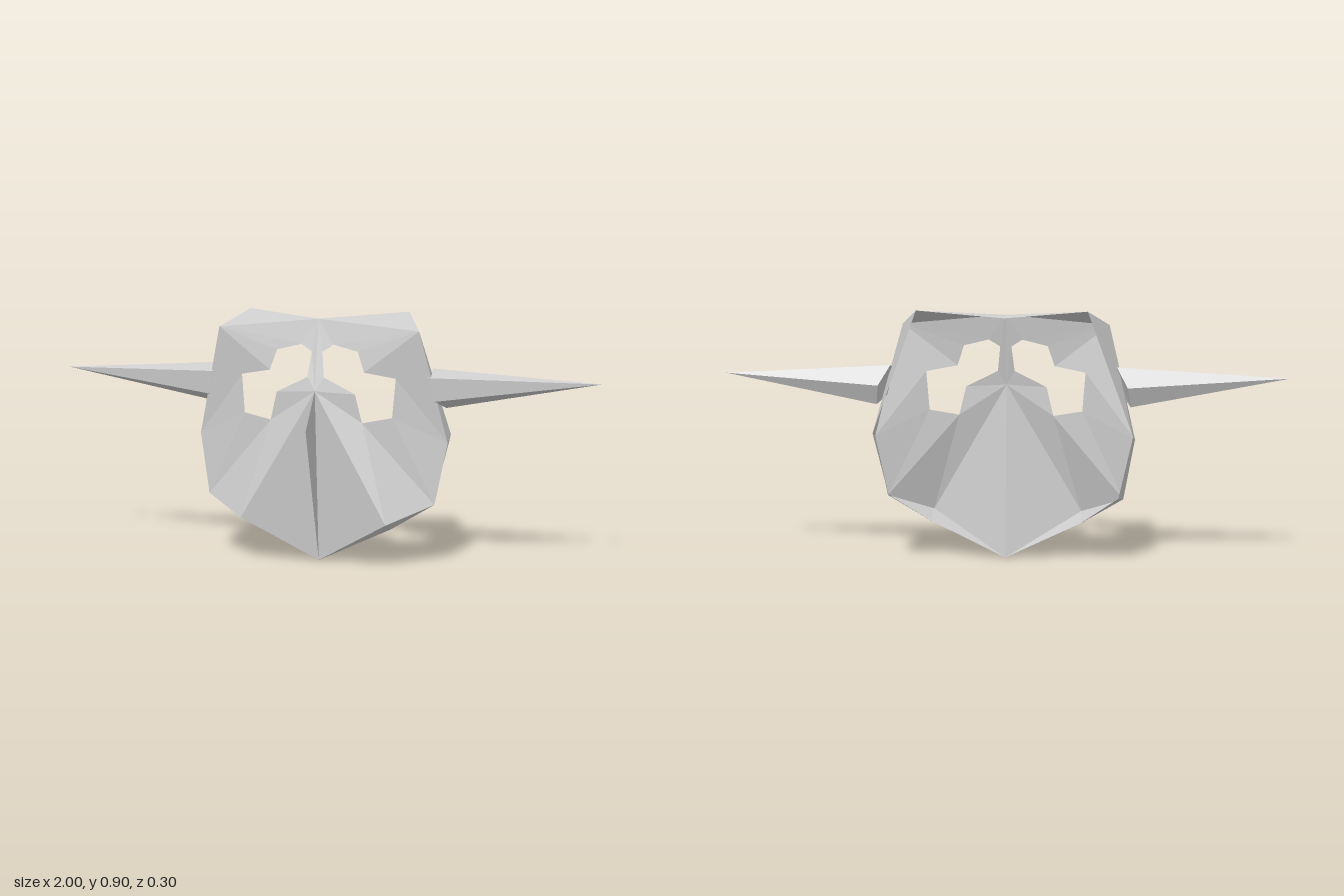
import * as THREE from 'three';

const grey = new THREE.MeshStandardMaterial({ color: 0xcccccc, side: THREE.DoubleSide, flatShading: true });
grey.name = 'plain grey';

// Faceted surface from corner points and polygons (each split as a fan)
function facets(name, points, polygons) {
  const pos = [];
  for (const p of polygons) {
    for (let i = 1; i < p.length - 1; i++) {
      for (const k of [p[0], p[i], p[i + 1]]) pos.push(...points[k]);
    }
  }
  const geo = new THREE.BufferGeometry();
  geo.setAttribute('position', new THREE.Float32BufferAttribute(pos, 3));
  geo.computeVertexNormals();
  const mesh = new THREE.Mesh(geo, grey);
  mesh.name = name;
  return mesh;
}

// Corners of one half of the mask
const P = {
  // centre line and outer edge
  top: [0, 0.885, -0.015], bridge: [0, 0.63, 0.035], chin: [0, 0.005, -0.015],
  brow: [0.37, 0.85, 0], cheek: [0.465, 0.45, -0.055], jaw: [0.425, 0.23, -0.03], jowl: [0.27, 0.165, 0.07],
  // rear edge of the rim
  topR: [0, 0.875, -0.06], browR: [0.3, 0.907, -0.15], cheekR: [0.46, 0.47, -0.135],
  jawR: [0.41, 0.245, -0.105], jowlR: [0.27, 0.135, -0.015],
  // eye opening
  e0: [0.17, 0.52, 0.02], e1: [0.275, 0.54, 0.0], e2: [0.286, 0.68, -0.005],
  e3: [0.175, 0.70, 0.012], e4: [0.15, 0.773, 0.005], e5: [0.06, 0.795, 0.0],
  e6: [0.02, 0.77, 0.005], e7: [0.03, 0.68, 0.025], e8: [0.145, 0.623, 0.025],
  // nose tip
  nose: [0, 0.5, 0.15],
};

// Face plate woven around the eye opening
const FACE = [
  ['top', 'bridge', 'e6'], ['bridge', 'e7', 'e6'], ['bridge', 'e8', 'e7'], ['bridge', 'e0', 'e8'],
  ['bridge', 'jowl', 'e0'], ['bridge', 'chin', 'jowl'], ['jowl', 'jaw', 'e0'], ['jaw', 'e1', 'e0'],
  ['jaw', 'cheek', 'e1'], ['cheek', 'e2', 'e1'], ['cheek', 'brow', 'e2'], ['brow', 'e3', 'e2'],
  ['brow', 'e4', 'e3'], ['brow', 'e5', 'e4'], ['brow', 'top', 'e5'], ['top', 'e6', 'e5'],
];

// Rim folded back from the outer edge
const RIM = [
  ['top', 'brow', 'browR', 'topR'], ['brow', 'cheek', 'cheekR', 'browR'],
  ['cheek', 'jaw', 'jawR', 'cheekR'], ['jaw', 'jowl', 'jowlR', 'jawR'], ['jowl', 'chin', 'jowlR'],
];

// Five-sided spike: base ring, then the tip
const SPIKE = [
  [0.40, 0.685, -0.015], [0.42, 0.6, -0.025], [0.45, 0.57, -0.1],
  [0.44, 0.64, -0.135], [0.40, 0.71, -0.1], [1, 0.675, -0.083],
];
const SPIKE_FACES = [[0, 4, 3, 2, 1]];
for (let i = 0; i < 5; i++) SPIKE_FACES.push([i, (i + 1) % 5, 5]);

export function createModel() {
  const model = new THREE.Group();
  model.name = 'mask';
  for (const side of [1, -1]) {
    const half = new THREE.Group();
    half.name = side > 0 ? 'leftHalf' : 'rightHalf';
    half.add(
      facets('facePlate', P, FACE),
      facets('rim', P, RIM),
      facets('earSpike', SPIKE, SPIKE_FACES),
    );
    half.scale.x = side;
    model.add(half);
  }
  // Thin nose fin on the centre line
  model.add(facets('noseFin', P, [['bridge', 'chin', 'nose']]));
  return model;
}
